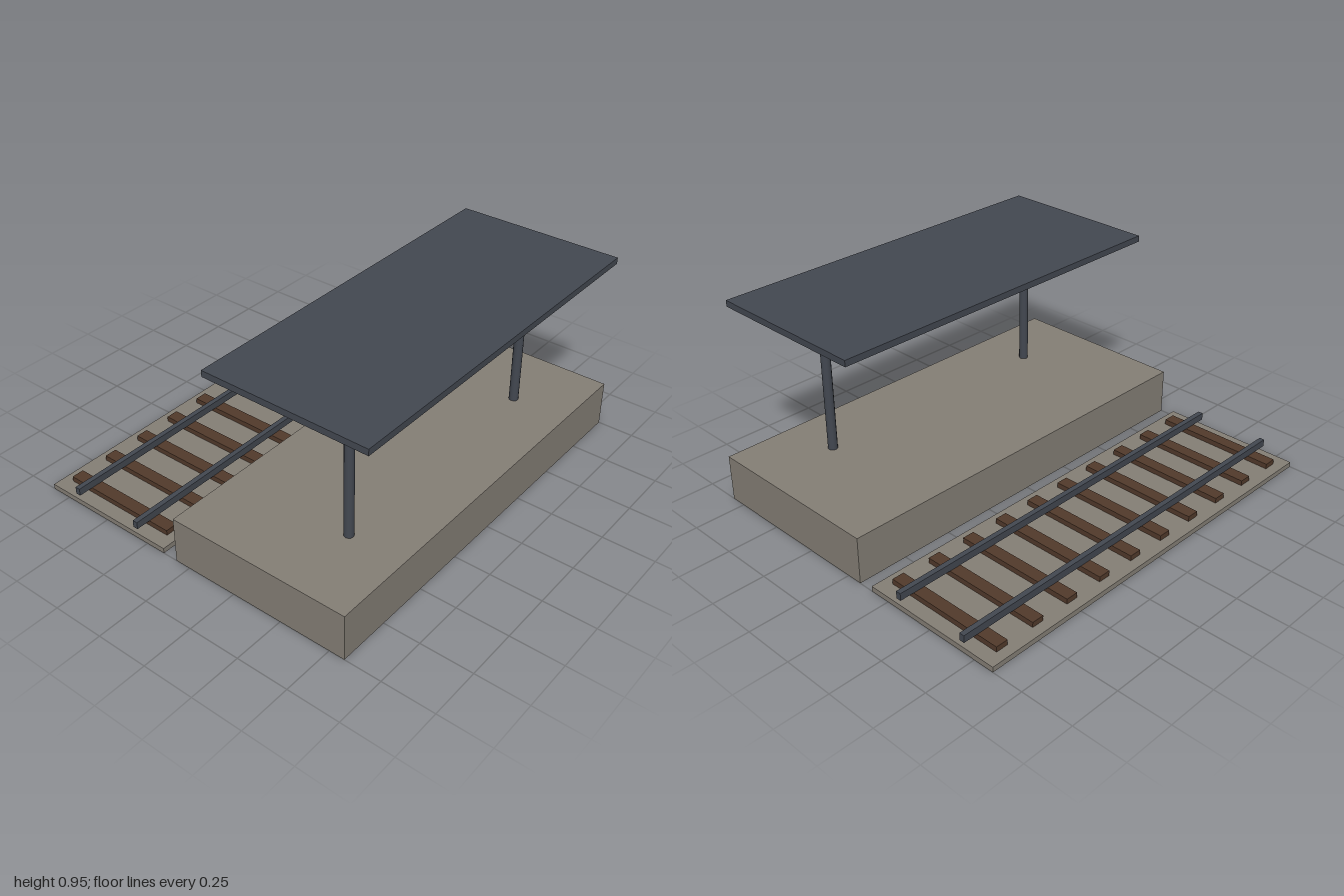
import * as THREE from 'three';

const material = (name, color) => {
  const m = new THREE.MeshStandardMaterial({ color });
  m.name = name;
  return m;
};

export function createModel() {
  const stone = material('stone', 0x857f76);
  const wood = material('wood', 0x523a2b);
  const steel = material('steel', 0x434851);
  const model = new THREE.Group();
  model.name = 'trainPlatform';

  const add = (parent, name, geometry, mat, x, y, z) => {
    const mesh = new THREE.Mesh(geometry, mat);
    mesh.name = name;
    mesh.position.set(x, y, z);
    parent.add(mesh);
  };
  // Box placed by its base height
  const box = (parent, name, mat, w, h, d, x, base, z = 0) =>
    add(parent, name, new THREE.BoxGeometry(w, h, d), mat, x, base + h / 2, z);

  // Track: ballast bed, ten sleepers and two rails
  const track = new THREE.Group();
  track.name = 'track';
  track.position.x = -0.5;
  model.add(track);
  box(track, 'ballastBed', stone, 0.7, 0.025, 2, 0, 0);
  for (let i = 0; i < 10; i++) {
    box(track, 'sleeper', wood, 0.6, 0.025, 0.06, 0, 0.025, -0.9 + i * 0.2);
  }
  for (const side of [-1, 1]) {
    box(track, 'rail', steel, 0.025, 0.035, 2, side * 0.1825, 0.05);
  }

  // Platform with a roof on two posts
  const platform = new THREE.Group();
  platform.name = 'platform';
  model.add(platform);
  box(platform, 'platformBase', stone, 0.9, 0.225, 2, 0.375, 0);
  for (const side of [-1, 1]) {
    add(platform, 'roofPost', new THREE.CylinderGeometry(0.0225, 0.0225, 0.7, 12),
      steel, 0.55, 0.575, side * 0.625);
  }
  box(platform, 'roof', steel, 0.8, 0.03, 1.8, 0.45, 0.925);

  return model;
}
